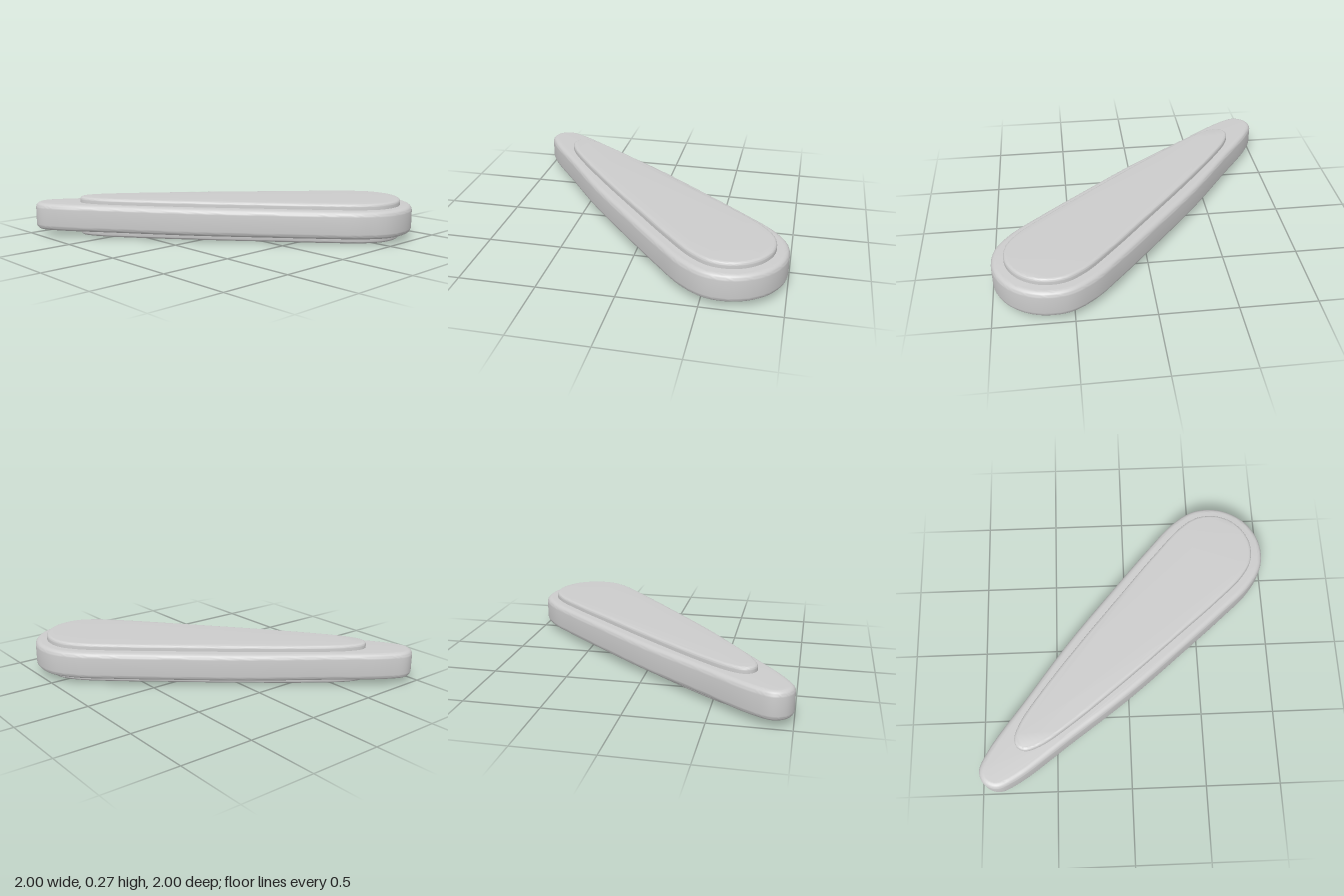
import * as THREE from 'three';
import { toCreasedNormals } from 'three/addons/utils/BufferGeometryUtils.js';

const material = new THREE.MeshStandardMaterial({ color: 0xcccccc });

// Half outlines from the broad end to the narrow tip: [along the axis, half width]
const BODY = [
  [1.258, 0], [1.209, 0.184], [1.074, 0.319], [0.89, 0.366], [0.62, 0.358], [0.24, 0.329],
  [-0.28, 0.281], [-0.77, 0.207], [-1.2, 0.138], [-1.33, 0.084], [-1.365, 0],
];
const PANEL = [
  [1.177, 0], [1.139, 0.144], [1.034, 0.249], [0.89, 0.287], [0.6, 0.279], [0.24, 0.249],
  [-0.25, 0.205], [-0.714, 0.148], [-0.93, 0.104], [-1.03, 0.053], [-1.052, 0],
];

// Mirrors a half outline into a smooth closed shape
function teardrop(half) {
  const mirrored = half.slice(1, -1).reverse().map(([u, v]) => [u, -v]);
  const points = [...half, ...mirrored].map(([u, v]) => new THREE.Vector3(u, v, 0));
  const curve = new THREE.CatmullRomCurve3(points, true, 'centripetal');
  const loop = curve.getPoints(160).slice(0, -1);
  return new THREE.Shape(loop.map((p) => new THREE.Vector2(p.x, p.y)));
}

// Rounded slab lying between two heights, turned onto the diagonal
function slab(name, half, bottom, top, bevel) {
  const geometry = new THREE.ExtrudeGeometry(teardrop(half), {
    depth: top - bottom - 2 * bevel,
    bevelThickness: bevel,
    bevelSize: bevel,
    bevelOffset: -bevel,
    bevelSegments: 6,
  });
  geometry.translate(0, 0, bottom + bevel);
  geometry.rotateX(-Math.PI / 2);
  geometry.rotateY(-Math.PI / 4);
  const mesh = new THREE.Mesh(toCreasedNormals(geometry, 0.6), material);
  mesh.name = name;
  return mesh;
}

export function createModel() {
  const model = new THREE.Group();
  model.name = 'teardropPlate';
  // Main body, with a raised panel on the upper and lower faces
  model.add(slab('body', BODY, 0.042, 0.228, 0.036));
  model.add(slab('upperPanel', PANEL, 0.18, 0.268, 0.02));
  model.add(slab('lowerPanel', PANEL, 0, 0.09, 0.02));
  return model;
}
